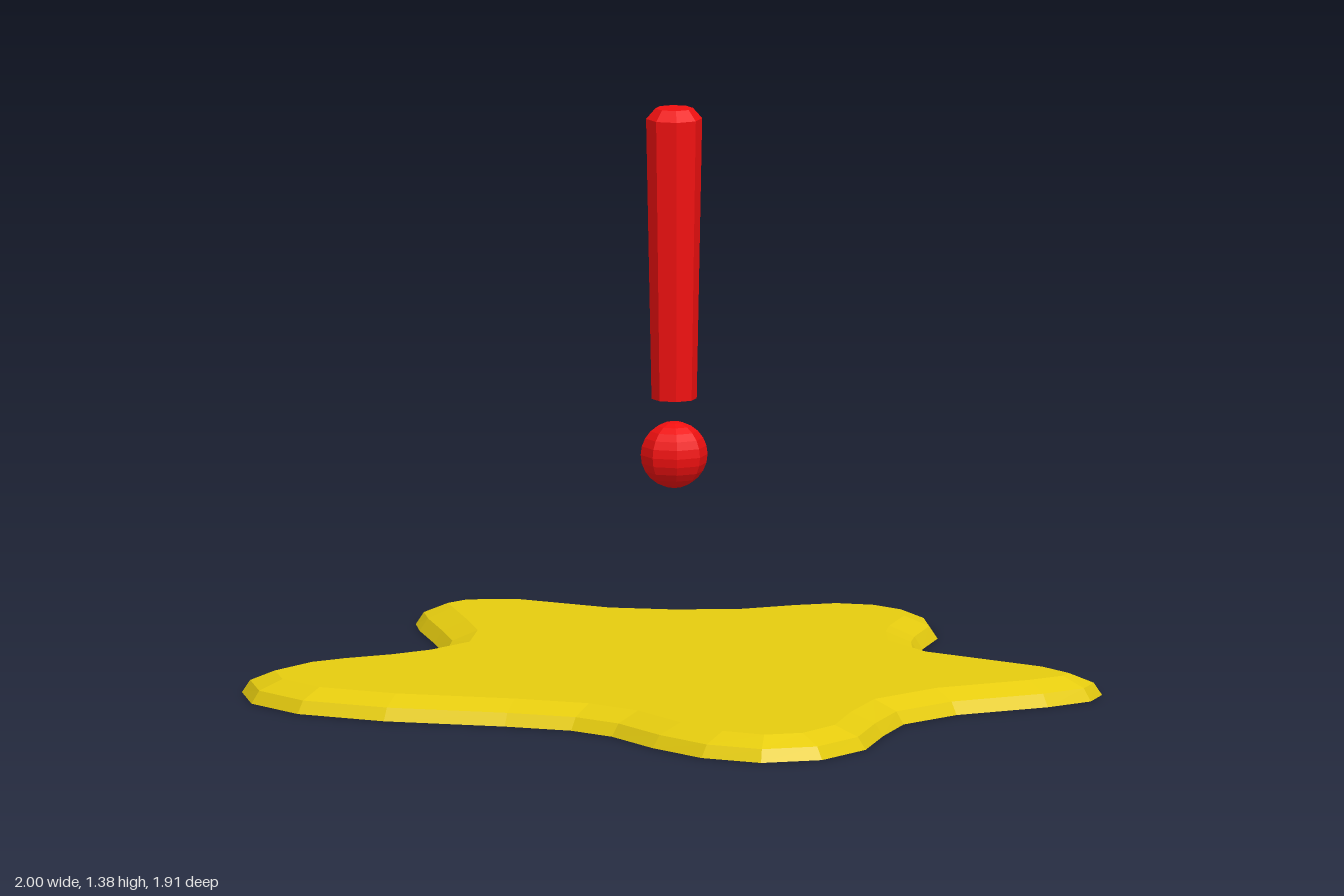
import * as THREE from 'three';

// Puddle outline as x, z pairs, clockwise seen from above
const OUTLINE = [
  -0.145, -0.965, -0.005, -0.95, 0.09, -0.86, 0.16, -0.72, 0.2, -0.66, 0.27, -0.58,
  0.41, -0.525, 0.76, -0.535, 0.91, -0.485, 0.95, -0.395, 0.925, -0.265, 0.83, -0.04,
  0.82, 0.145, 0.89, 0.305, 0.985, 0.485, 1.0, 0.665, 0.915, 0.79, 0.76, 0.825,
  0.58, 0.79, 0.4, 0.725, 0.27, 0.72, 0.11, 0.775, -0.16, 0.9, -0.385, 0.95,
  -0.565, 0.905, -0.69, 0.79, -0.71, 0.595, -0.68, 0.485, -0.63, 0.37, -0.605, 0.275,
  -0.605, 0.16, -0.68, 0.05, -0.79, -0.045, -0.93, -0.16, -1.0, -0.23, -1.0, -0.345,
  -0.945, -0.425, -0.86, -0.485, -0.615, -0.53, -0.5, -0.595, -0.4, -0.685,
  -0.34, -0.805, -0.265, -0.91,
];

// Rim profile: how far each ring is drawn in, and its height
const RIM = [[0, 0], [0.02, 0.03], [0.08, 0.055]];

function insetRing(points, distance) {
  const n = points.length;
  return points.map((p, i) => {
    const before = p.clone().sub(points[(i + n - 1) % n]).normalize();
    const after = points[(i + 1) % n].clone().sub(p).normalize();
    const t = before.add(after).normalize();
    return new THREE.Vector2(p.x - t.y * distance, p.y + t.x * distance);
  });
}

function puddleGeometry() {
  // Counter-clockwise contour in the plane (x, -z)
  const contour = [];
  for (let i = OUTLINE.length - 2; i >= 0; i -= 2) {
    contour.push(new THREE.Vector2(OUTLINE[i], -OUTLINE[i + 1]));
  }
  const n = contour.length;
  const positions = [], index = [];
  const rings = RIM.map(([inset, y]) => {
    const ring = insetRing(contour, inset);
    ring.forEach((p) => positions.push(p.x, y, -p.y));
    return ring;
  });

  // Sloping rim
  for (let r = 0; r < rings.length - 1; r++) {
    for (let i = 0; i < n; i++) {
      const j = (i + 1) % n, a = r * n, b = a + n;
      index.push(a + i, a + j, b + j, a + i, b + j, b + i);
    }
  }
  // Flat top and underside
  const top = (rings.length - 1) * n;
  for (const [a, b, c] of THREE.ShapeUtils.triangulateShape(rings[rings.length - 1], [])) {
    index.push(top + a, top + b, top + c);
  }
  for (const [a, b, c] of THREE.ShapeUtils.triangulateShape(rings[0], [])) {
    index.push(a, c, b);
  }

  const geometry = new THREE.BufferGeometry();
  geometry.setAttribute('position', new THREE.Float32BufferAttribute(positions, 3));
  geometry.setIndex(index);
  const flat = geometry.toNonIndexed();
  flat.computeVertexNormals();
  return flat;
}

export function createModel() {
  const model = new THREE.Group();
  const yellow = new THREE.MeshStandardMaterial({ color: 0xe6cc0f, flatShading: true });
  const red = new THREE.MeshStandardMaterial({ color: 0xf01010, flatShading: true });

  const puddle = new THREE.Mesh(puddleGeometry(), yellow);
  puddle.name = 'puddle';
  model.add(puddle);

  // Floating warning mark: tapered bar with a bevelled top, over a ball
  const mark = new THREE.Group();
  mark.name = 'warningMark';
  mark.position.set(-0.006, 0, 0.005);

  const profile = [[0, 0.68], [0.054, 0.68], [0.067, 1.355], [0.045, 1.38], [0, 1.38]];
  const bar = new THREE.Mesh(
    new THREE.LatheGeometry(profile.map(([r, y]) => new THREE.Vector2(r, y)), 8), red);
  bar.name = 'markBar';

  const dot = new THREE.Mesh(new THREE.SphereGeometry(0.08, 8, 12), red);
  dot.name = 'markDot';
  dot.position.y = 0.545;

  mark.add(bar, dot);
  model.add(mark);
  return model;
}
